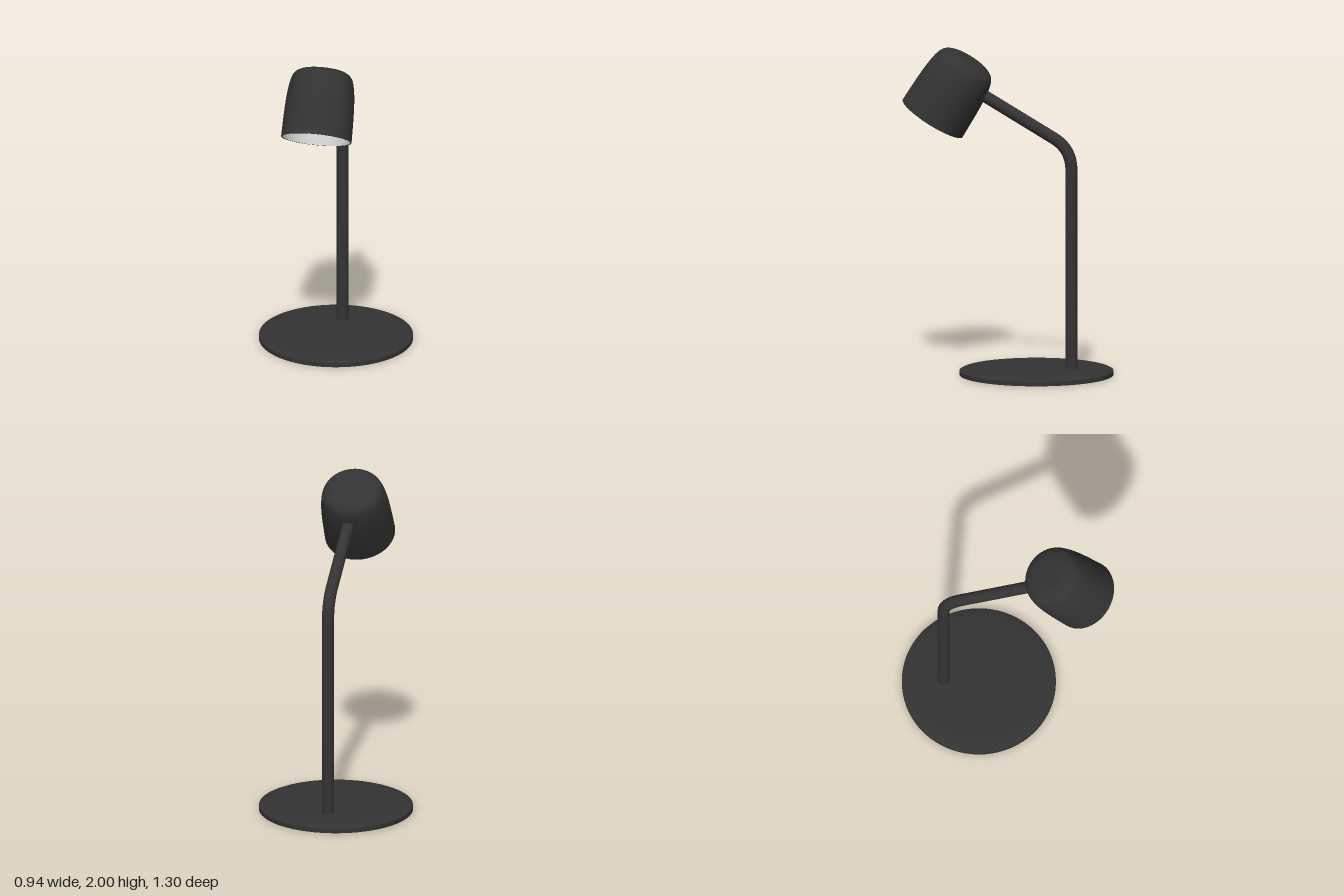
import * as THREE from 'three';
import { toCreasedNormals } from 'three/addons/utils/BufferGeometryUtils.js';

const dark = new THREE.MeshStandardMaterial({ color: 0x333333 });
const light = new THREE.MeshStandardMaterial({ color: 0xe0e0e0 });

const toVectors = (pairs) => pairs.map(([x, y]) => new THREE.Vector2(x, y));

// Turned part from a profile of [radius, height] points
function turned(name, points, material) {
  const geometry = toCreasedNormals(new THREE.LatheGeometry(points, 72), 0.6);
  const mesh = new THREE.Mesh(geometry, material);
  mesh.name = name;
  return mesh;
}

export function createModel() {
  const lamp = new THREE.Group();
  lamp.name = 'deskLamp';

  // Round base with a shallow sloping rim
  const base = turned('base', toVectors([
    [0, 0], [0.47, 0], [0.47, 0.027], [0.455, 0.034], [0.41, 0.041], [0.35, 0.045], [0, 0.045],
  ]), dark);
  base.position.z = -0.175;
  lamp.add(base);

  // Upright stem bending forward into the arm
  const path = new THREE.CurvePath();
  const bendStart = new THREE.Vector3(0, 1.27, -0.39);
  const bendEnd = new THREE.Vector3(0, 1.464, -0.278);
  path.add(new THREE.LineCurve3(new THREE.Vector3(0, 0.03, -0.39), bendStart));
  path.add(new THREE.QuadraticBezierCurve3(bendStart, new THREE.Vector3(0, 1.4, -0.39), bendEnd));
  path.add(new THREE.LineCurve3(bendEnd, new THREE.Vector3(0, 1.713, 0.146)));
  const stem = new THREE.Mesh(new THREE.TubeGeometry(path, 120, 0.037, 24), dark);
  stem.name = 'stem';
  lamp.add(stem);

  // Tilted shade: rounded bell, open underneath
  const shade = new THREE.Group();
  shade.name = 'shade';
  shade.position.set(0, 1.568, 0.467);
  shade.rotation.x = THREE.MathUtils.degToRad(-31.9);
  const bell = new THREE.SplineCurve(toVectors([
    [0.216, 0], [0.213, 0.15], [0.208, 0.25], [0.199, 0.325], [0.187, 0.375],
    [0.171, 0.403], [0.145, 0.421], [0.115, 0.431], [0.085, 0.434], [0, 0.434],
  ])).getPoints(45);
  bell[bell.length - 1].x = 0;

  // Outer skin with the thin rim edge
  const wall = 0.008;
  shade.add(turned('shadeOuter', [new THREE.Vector2(0.216 - wall, 0), ...bell], dark));

  // Pale lining, the same profile inset and facing inward
  const lining = bell.map((p) => new THREE.Vector2(
    Math.max(0, p.x - wall), p.y * (0.434 - wall) / 0.434)).reverse();
  shade.add(turned('shadeLining', lining, light));
  lamp.add(shade);

  return lamp;
}
